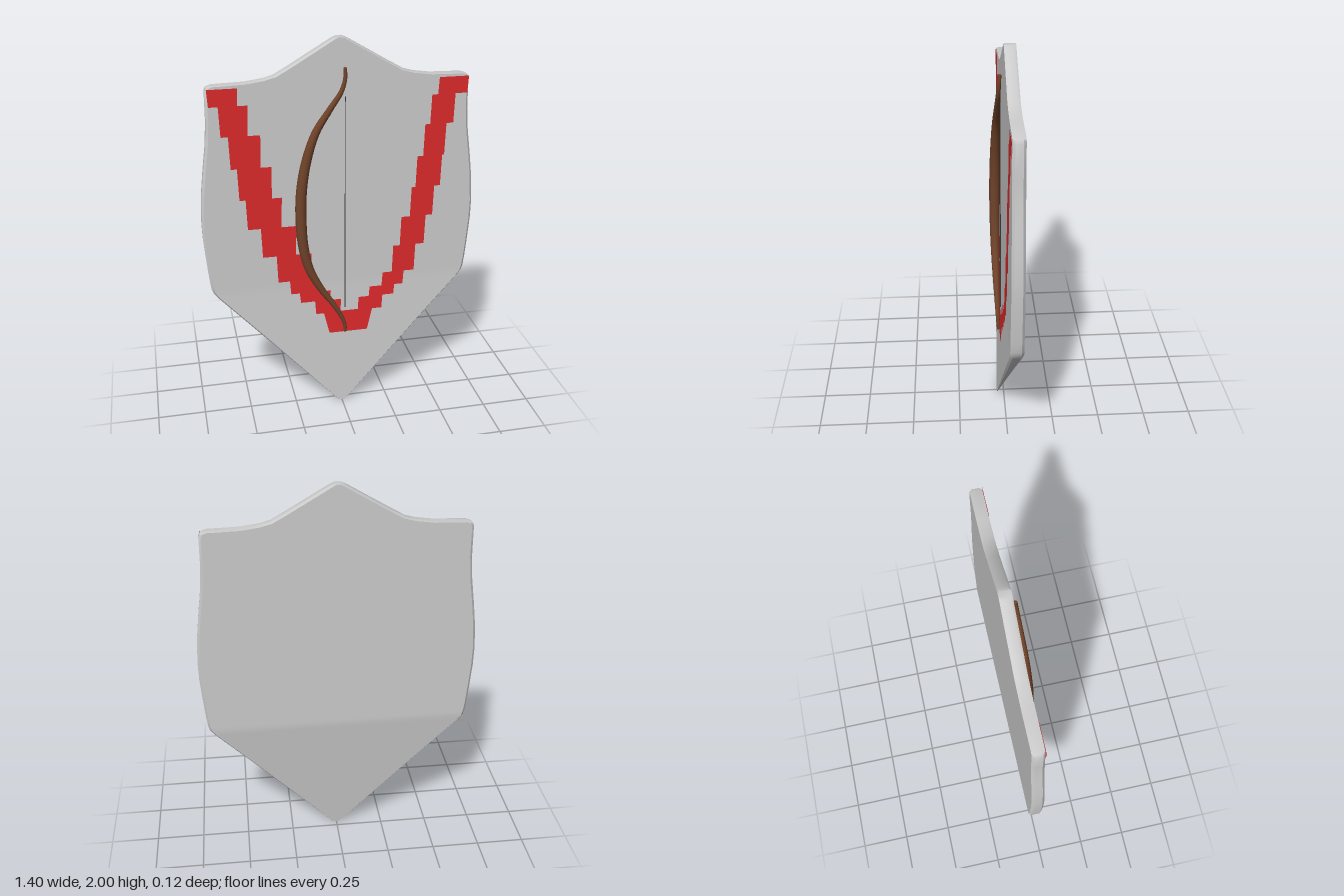
import * as THREE from 'three';
import { toCreasedNormals } from 'three/addons/utils/BufferGeometryUtils.js';

const { lerp, mapLinear } = THREE.MathUtils;
const paint = (color, side = THREE.FrontSide) =>
  new THREE.MeshStandardMaterial({ color, side, roughness: 0.8 });

function addMesh(group, name, geometry, material) {
  const mesh = new THREE.Mesh(geometry, material);
  mesh.name = name;
  group.add(mesh);
  return mesh;
}

// The plate is nearly flat above the shoulder and sweeps forward to a thin tip.
const BEND = 0.72;
const frontZ = (y) => (y > BEND ? mapLinear(y, BEND, 2, 0.008, 0) : lerp(0.038, 0.008, y / BEND));
const backZ = (y) => (y > BEND ? -0.058 : lerp(0.034, -0.058, y / BEND));

// Height and half width, from the crest down to the tip
const OUTLINE = [
  [2, 0.015], [1.993, 0.035], [1.97, 0.075], [1.92, 0.16], [1.87, 0.245], [1.828, 0.32], [1.812, 0.38],
  [1.8, 0.47], [1.796, 0.625], [1.79, 0.64], [1.775, 0.648], [1.62, 0.65], [1.5, 0.66], [1.38, 0.677],
  [1.25, 0.693], [1.12, 0.701], [1.02, 0.699], [0.9, 0.69], [0.8, 0.681], [0.745, 0.674],
  [0.72, 0.666], [0.69, 0.645], [0.46, 0.435], [0.23, 0.225], [0.015, 0.03], [0, 0.015],
];

// Bevelled eight-sided cross-sections joined from top to bottom
function plateGeometry() {
  const positions = [], index = [], n = 8;
  for (const [y, w] of OUTLINE) {
    const f = frontZ(y), k = backZ(y);
    const b = Math.min(0.012, (f - k) * 0.25, w * 0.3);
    const section = [[b - w, f], [w - b, f], [w, f - b], [w, k + b],
      [w - b, k], [b - w, k], [-w, k + b], [-w, f - b]];
    for (const [x, z] of section) positions.push(x, y, z);
  }
  const last = (OUTLINE.length - 1) * n;
  for (let i = 0; i < last; i += n) {
    for (let j = 0; j < n; j++) {
      const a = i + j, b = i + ((j + 1) % n);
      index.push(a, a + n, b, b, a + n, b + n);
    }
  }
  for (let j = 1; j < n - 1; j++) {
    index.push(0, j, j + 1, last, last + j + 1, last + j);
  }
  const geometry = new THREE.BufferGeometry();
  geometry.setAttribute('position', new THREE.Float32BufferAttribute(positions, 3));
  geometry.setIndex(index);
  return toCreasedNormals(geometry, 0.6);
}

// Stepped patches: top, bottom, then the x span of the right and left arm
const STEPS = [
  [1.785, 1.7, -0.64, -0.495, 0.495, 0.645],
  [1.7, 1.55, -0.59, -0.45, 0.46, 0.58],
  [1.55, 1.385, -0.55, -0.395, 0.43, 0.54],
  [1.385, 1.22, -0.515, -0.345, 0.395, 0.525],
  [1.22, 1.06, -0.48, -0.3, 0.37, 0.49],
  [1.06, 0.9, -0.41, -0.23, 0.32, 0.45],
  [0.9, 0.75, -0.335, -0.155, 0.28, 0.4],
  [0.75, 0.675, -0.27, -0.115, 0.225, 0.34],
  [0.675, 0.62, -0.22, -0.055, 0.155, 0.29],
  [0.62, 0.545, -0.14, 0, 0.095, 0.225],
];

function bandGeometry() {
  const positions = [];
  const patch = (top, bottom, x0, x1, slant) => {
    const zt = frontZ(top) + 0.003, zb = frontZ(bottom) + 0.003;
    const a = [x0, top, zt], b = [x1, top, zt];
    const c = [x0 + slant, bottom, zb], d = [x1 - Math.abs(slant), bottom, zb];
    positions.push(...a, ...c, ...b, ...b, ...c, ...d);
  };
  for (const [top, bottom, l0, l1, r0, r1] of STEPS) {
    patch(top, bottom, l0, l1, 0.005);
    patch(top, bottom, r0, r1, -0.005);
  }
  patch(0.55, 0.425, -0.095, 0.17, 0.03);
  const geometry = new THREE.BufferGeometry();
  geometry.setAttribute('position', new THREE.Float32BufferAttribute(positions, 3));
  geometry.computeVertexNormals();
  return geometry;
}

const BOW_PATH = [
  [0.018, 1.855], [0.018, 1.81], [0, 1.75], [-0.06, 1.66], [-0.13, 1.55], [-0.18, 1.4], [-0.205, 1.25],
  [-0.21, 1.1], [-0.2, 0.95], [-0.17, 0.82], [-0.11, 0.7], [-0.05, 0.61], [0, 0.52], [0.018, 0.465], [0.018, 0.435],
];
const bowRadius = (u) => 0.009 + 0.019 * Math.sin(Math.PI * u) ** 1.3;

// A tube whose rings are scaled so that the limbs thin towards the tips
function bowGeometry(curve) {
  const segments = 80, sides = 16;
  const geometry = new THREE.TubeGeometry(curve, segments, 1, sides);
  const position = geometry.attributes.position, p = new THREE.Vector3();
  for (let i = 0; i <= segments; i++) {
    const centre = curve.getPointAt(i / segments), r = bowRadius(i / segments);
    for (let j = 0; j <= sides; j++) {
      const k = i * (sides + 1) + j;
      p.fromBufferAttribute(position, k).sub(centre).multiplyScalar(r).add(centre);
      position.setXYZ(k, p.x, p.y, p.z);
    }
  }
  return geometry;
}

export function createModel() {
  const model = new THREE.Group();
  model.name = 'shield';
  addMesh(model, 'plate', plateGeometry(), paint(0xcccccc));
  addMesh(model, 'steppedBand', bandGeometry(), paint(0xdd2a2c, THREE.DoubleSide));

  // Bow with rounded tips and a straight string
  const bow = new THREE.Group();
  bow.name = 'bow';
  model.add(bow);
  const wood = paint(0x70432a);
  const curve = new THREE.CatmullRomCurve3(BOW_PATH.map(([x, y], i) => {
    const u = i / (BOW_PATH.length - 1);
    return new THREE.Vector3(x, y, lerp(0.02, 0.028, u) + 0.011 * Math.sin(Math.PI * u));
  }));
  addMesh(bow, 'bowLimbs', bowGeometry(curve), wood);
  for (const u of [0, 1]) {
    const tip = addMesh(bow, 'bowTip', new THREE.SphereGeometry(bowRadius(u), 16, 10), wood);
    tip.position.copy(curve.getPointAt(u));
  }
  const string = addMesh(bow, 'bowString', new THREE.CylinderGeometry(0.002, 0.002, 1.15, 8), paint(0x444444));
  string.position.set(0.02, 1.145, 0.017);
  return model;
}
